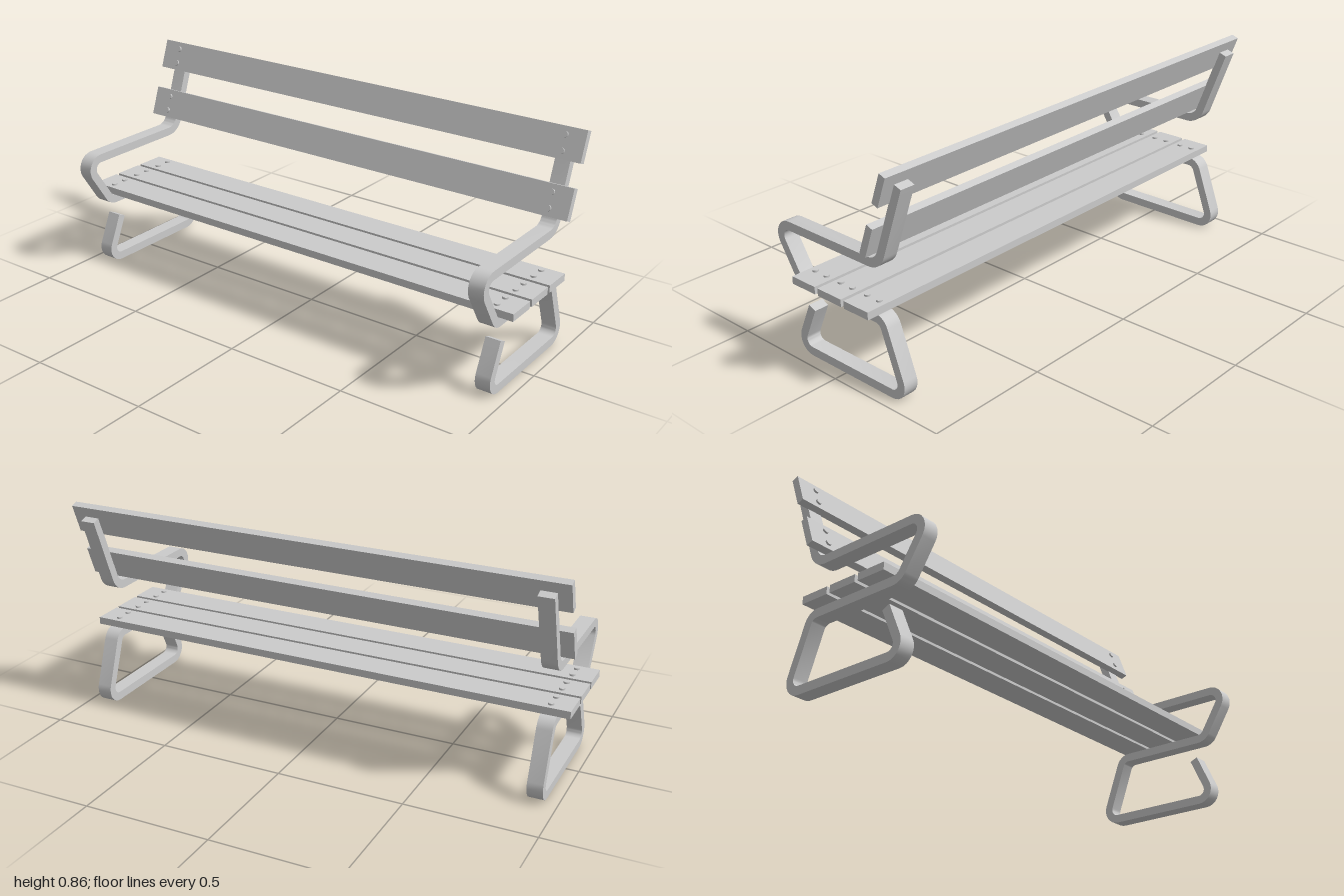
import * as THREE from 'three';
import { toCreasedNormals } from 'three/addons/utils/BufferGeometryUtils.js';

const material = new THREE.MeshStandardMaterial({ color: 0xcccccc });
const BAR = 0.0345; // bar thickness
const BAR_WIDTH = 0.06;
const FRAME_X = 0.92;

// Centre line of the bent bar: [z, y, bend radius]
const BENDS = [
  [0.165, 0.2, 0],
  [0.247, 0.0175, 0.043],
  [-0.304, 0.0175, 0.045],
  [-0.203, 0.287, 0.045],
  [0.218, 0.287, 0.05],
  [0.345, 0.49, 0.045],
  [-0.197, 0.49, 0.065],
  [-0.308, 0.802, 0],
];

// Offsets the centre line to both sides, rounding each corner with an arc
function barShape(bends, thickness, steps = 8) {
  const pts = bends.map(([z, y]) => new THREE.Vector2(z, y));
  const sideA = [], sideB = [];
  const add = (p, n) => {
    sideA.push(p.clone().addScaledVector(n, thickness / 2));
    sideB.unshift(p.clone().addScaledVector(n, -thickness / 2));
  };
  const normal = (d) => new THREE.Vector2(-d.y, d.x);
  const dir = (i) => pts[i + 1].clone().sub(pts[i]).normalize();
  const last = pts.length - 1;

  add(pts[0], normal(dir(0)));
  for (let i = 1; i < last; i++) {
    const d0 = dir(i - 1), d1 = dir(i), r = bends[i][2];
    const turn = Math.atan2(d0.cross(d1), d0.dot(d1));
    const sign = Math.sign(turn);
    const start = pts[i].clone().addScaledVector(d0, -r * Math.tan(Math.abs(turn) / 2));
    const centre = start.addScaledVector(normal(d0), sign * r);
    for (let k = 0; k <= steps; k++) {
      const n = normal(d0).rotateAround(new THREE.Vector2(), (turn * k) / steps);
      add(centre.clone().addScaledVector(n, -sign * r), n);
    }
  }
  add(pts[last], normal(dir(last - 1)));
  return new THREE.Shape([...sideA, ...sideB]);
}

function frameGeometry() {
  const geo = new THREE.ExtrudeGeometry(barShape(BENDS, BAR), { depth: BAR_WIDTH, bevelEnabled: false });
  geo.translate(0, 0, -BAR_WIDTH / 2).rotateY(-Math.PI / 2);
  return toCreasedNormals(geo, 0.6);
}

// Board with two bolts at each end; local +y is the visible face
function slat(name, y, z, tilt) {
  const size = { width: 0.12, thickness: 0.029 };
  const group = new THREE.Group();
  group.name = name;
  const board = new THREE.Mesh(new THREE.BoxGeometry(2, size.thickness, size.width), material);
  board.name = 'board';
  group.add(board);
  const boltGeo = new THREE.CylinderGeometry(0.0115, 0.0115, 0.012, 16);
  for (const x of [-FRAME_X, FRAME_X]) {
    for (const dz of [-0.03, 0.03]) {
      const bolt = new THREE.Mesh(boltGeo, material);
      bolt.name = 'bolt';
      bolt.position.set(x, size.thickness / 2 + 0.001, dz);
      group.add(bolt);
    }
  }
  group.position.set(0, y, z);
  group.rotation.x = tilt;
  return group;
}

export function createModel() {
  const model = new THREE.Group();
  model.name = 'bench';

  // Bent bar frames forming legs, armrests and back supports
  const geo = frameGeometry();
  for (const [name, x] of [['leftFrame', FRAME_X], ['rightFrame', -FRAME_X]]) {
    const frame = new THREE.Mesh(geo, material);
    frame.name = name;
    frame.position.x = x;
    model.add(frame);
  }

  // Seat boards
  [0.138, 0.003, -0.132].forEach((z, i) => model.add(slat(`seatSlat${i + 1}`, 0.32, z, 0)));

  // Leaning backrest boards
  const lean = THREE.MathUtils.degToRad(70);
  model.add(slat('lowerBackSlat', 0.599, -0.203, lean));
  model.add(slat('upperBackSlat', 0.796, -0.275, lean));

  return model;
}
